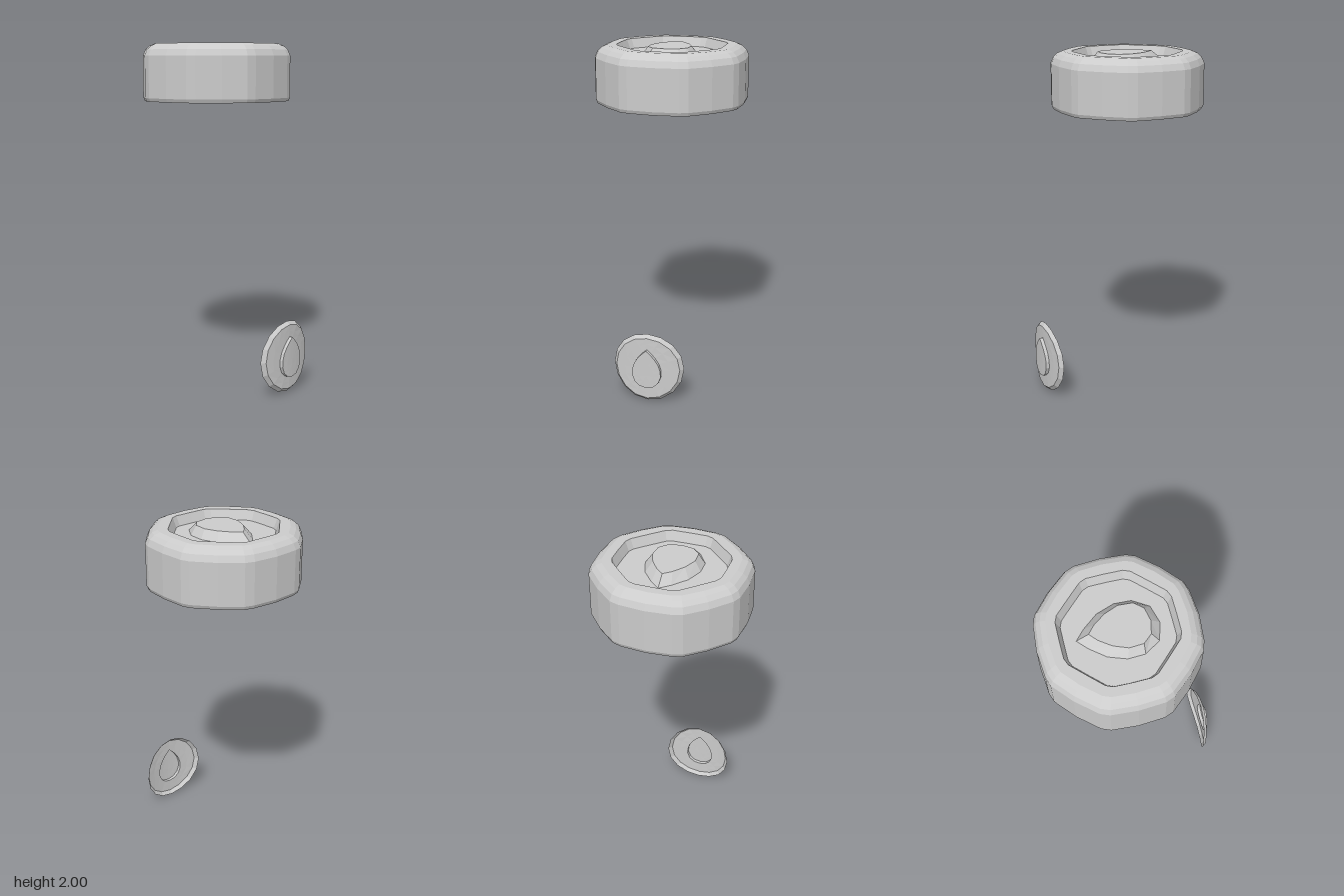
import * as THREE from 'three';

// Skin a list of closed rings (arrays of [x, y, z] with equal counts)
function loft(name, rings, side = THREE.FrontSide) {
  const pos = [], idx = [], n = rings[0].length;
  rings.forEach(r => r.forEach(p => pos.push(...p)));
  for (let i = 0; i < rings.length - 1; i++) {
    for (let j = 0; j < n; j++) {
      const a = i * n + j, b = i * n + (j + 1) % n;
      idx.push(a, b, b + n, a, b + n, a + n);
    }
  }
  const geo = new THREE.BufferGeometry();
  geo.setAttribute('position', new THREE.Float32BufferAttribute(pos, 3));
  geo.setIndex(idx);
  geo.computeVertexNormals();
  const mesh = new THREE.Mesh(geo, new THREE.MeshStandardMaterial({ color: 0xcccccc, flatShading: true, side }));
  mesh.name = name;
  return mesh;
}

// Half outline from the +z end to the -z end, mirrored across x
const mirrorX = half => [...half, ...half.slice(1, -1).reverse().map(([x, z]) => [-x, z])];

// Quarter outline (+z to +x) made into a full outline
const mirrorXZ = q => mirrorX([...q, ...q.slice(0, -1).reverse().map(([x, z]) => [x, -z])]);

const ring = (outline, scale, y, z0 = 0) => outline.map(([x, z]) => [x * scale, y, z * scale + z0]);

// Softened octagon outlines
const capOutline = mirrorXZ([[0, 0.425], [0.145, 0.412], [0.197, 0.395], [0.305, 0.302], [0.4, 0.192], [0.42, 0.143], [0.43, 0]]);
const recessOutline = mirrorXZ([[0, 0.303], [0.1, 0.302], [0.137, 0.287], [0.212, 0.212], [0.287, 0.135], [0.303, 0.098], [0.305, 0]]);

// Droplet: base and top outlines
const dropBase = [[0, 0.143], [0.098, 0.116], [0.153, 0.03], [0.157, -0.064], [0.122, -0.162], [0.056, -0.244], [0, -0.295]];
const dropTop = [[0, 0.093], [0.072, 0.078], [0.115, 0.03], [0.12, -0.048], [0.09, -0.125], [0.043, -0.19], [0, -0.228]];

function makeCap() {
  const cap = new THREE.Group();
  cap.name = 'cap';
  const o = (s, y) => ring(capOutline, s, y);
  const r = (s, y) => ring(recessOutline, s, y);
  // Hollow underside, outer wall, rounded shoulder and recessed top in one skin
  cap.add(loft('capShell', [
    o(0, 1.91), o(0.74, 1.91), o(0.845, 1.87), o(0.85, 1.67),
    o(0.98, 1.67), o(1, 1.69), o(1, 1.93), o(0.965, 1.965), o(0.91, 1.987), o(0.84, 2),
    r(1, 2), r(0.93, 1.945), r(0, 1.945),
  ]));
  cap.position.z = -0.075;
  return cap;
}

function makeCapDroplet() {
  const base = mirrorX(dropBase), top = mirrorX(dropTop);
  return loft('capDroplet', [ring(base, 1, 1.944), ring(top, 1, 1.995), ring(top, 0, 1.995)]);
}

// Thin dished badge with a raised droplet, bent around the y axis
function makeBadge() {
  const N = 16, cy = 0.21, dropY = 0.172, bend = 0.65;
  const circle = Array.from({ length: N }, (_, i) => {
    const a = i / N * Math.PI * 2;
    return [Math.sin(a), Math.cos(a)];
  });
  const curve = new THREE.CatmullRomCurve3(dropBase.map(([x, z]) => new THREE.Vector3(x, 0, z)));
  const drop = mirrorX(curve.getPoints(N / 2).map(p => [p.x * 0.535, p.z * 0.535]));
  const place = (x, y, h) => [x, y, h - bend * x * x];
  const disc = (rad, h) => circle.map(([x, z]) => place(x * rad, cy - z * rad, h));
  const dropRing = (s, h) => drop.map(([x, z]) => place(x * s, dropY - z * s, h));
  // Ring halfway between the disc edge and the droplet
  const between = circle.map(([x, z], i) => place(
    (x * 0.19 + drop[i][0]) / 2, (cy - z * 0.19 + dropY - drop[i][1]) / 2, 0.48));
  return loft('badge', [
    disc(0.21, 0.46), disc(0.19, 0.48), between,
    dropRing(1, 0.48), dropRing(1, 0.5), dropRing(0.5, 0.5), dropRing(0, 0.5),
  ], THREE.DoubleSide);
}

export function createModel() {
  const model = new THREE.Group();
  model.name = 'capAndBadge';
  model.add(makeCap(), makeCapDroplet(), makeBadge());
  return model;
}
